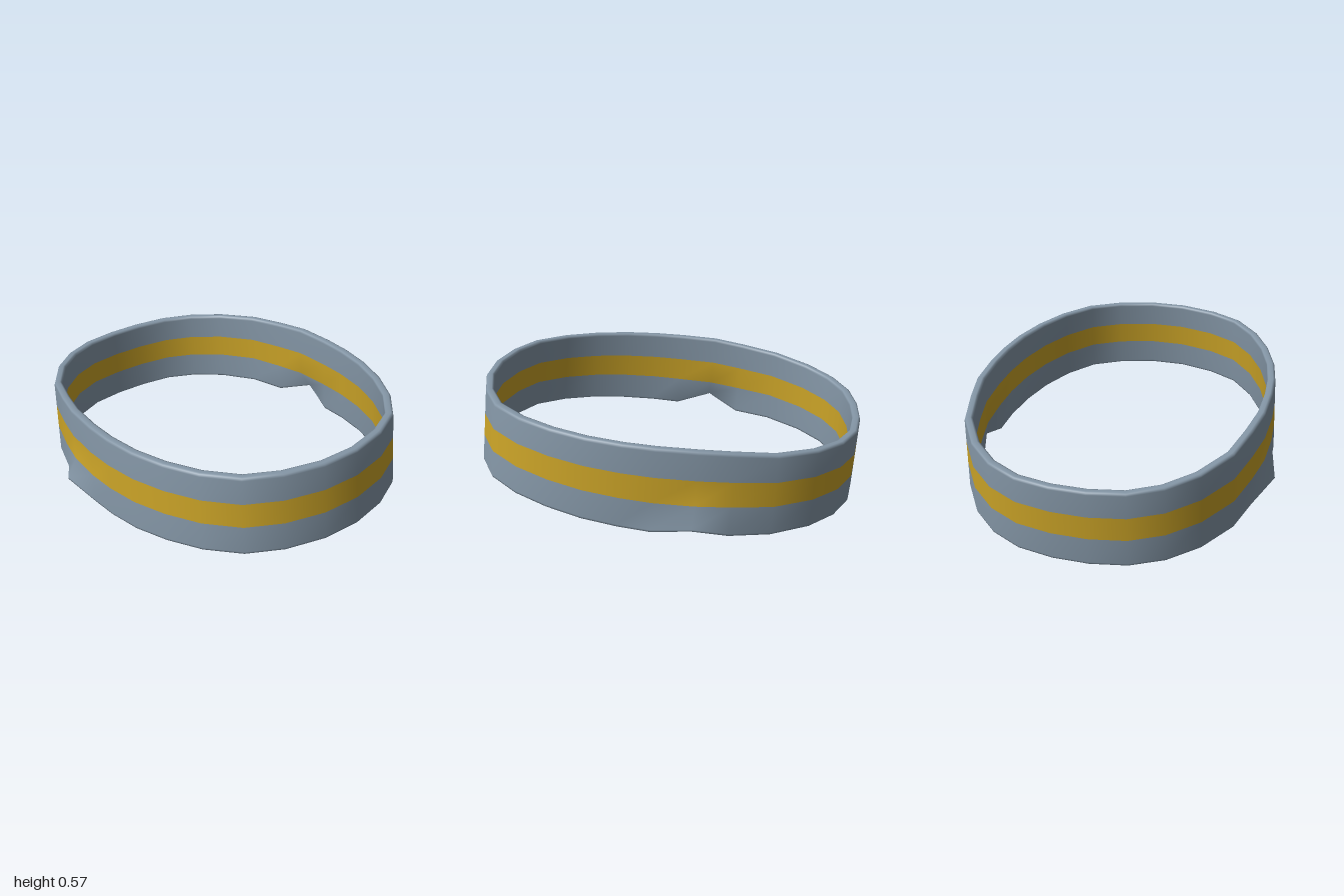
import * as THREE from 'three';

// Half of the lower outline, front to back: x, z, lower edge height
const HALF = [
  [0.10, 1.00, 0.170], [0.30, 0.95, 0.166], [0.47, 0.86, 0.160], [0.60, 0.71, 0.146],
  [0.69, 0.54, 0.130], [0.75, 0.36, 0.110], [0.78, 0.18, 0.092], [0.788, 0.02, 0.075],
  [0.78, -0.18, 0.062], [0.745, -0.35, 0.048], [0.69, -0.55, 0.035], [0.57, -0.74, 0.020],
  [0.43, -0.87, 0.010], [0.27, -0.95, 0.004], [0.09, -0.98, 0],
];
const FLARE_POINT = 8; // the point above each ear that bends outward
const THICKNESS = 0.042;
const STRIPE_LOW = 0.365, STRIPE_HIGH = 0.665;

// Cross-section of the band: inward fraction, height fraction
const OUTER = [[0.3, 0], [0.08, 0.008], [0, 0.035], [0, STRIPE_LOW], [0, STRIPE_HIGH],
  [0, 0.965], [0.08, 0.992], [0.3, 1]];
const SECTION = [...OUTER, ...OUTER.map(([t, v]) => [1 - t, v]).reverse()];

const topHeight = (z) => 0.5 + (z + 0.2) * (z > -0.2 ? 0.061 : 0.125);

export function createModel() {
  const group = new THREE.Group();
  group.name = 'headband';

  // Closed outline, running from the front over +x to the back and round
  const half = HALF.map(([x, z, y], i) => ({ x, z, y, flare: i === FLARE_POINT ? 1 : 0 }));
  const ring = [...half, ...half.map((p) => ({ ...p, x: -p.x })).reverse()];
  const n = ring.length, m = SECTION.length;

  const positions = [], bandIndex = [], stripeIndex = [];
  ring.forEach((p, i) => {
    const a = ring[(i + n - 1) % n], b = ring[(i + 1) % n];
    const inward = new THREE.Vector2(b.z - a.z, a.x - b.x).normalize();
    for (const [t, v] of SECTION) {
      // Slight lean of the wall, plus the flare below the stripe
      const flare = p.flare * Math.max(0, 1 - v / STRIPE_LOW);
      const x = p.x * (1 - 0.02 * v) + Math.sign(p.x) * 0.058 * flare;
      const z = p.z - v * (0.0325 + 0.0125 * p.z);
      const y = p.y + (topHeight(p.z) - p.y) * v + 0.058 * flare;
      positions.push(x + inward.x * t * THICKNESS, y, z + inward.y * t * THICKNESS);
    }
    for (let j = 0; j < m; j++) {
      const k = (j + 1) % m, q = (i + 1) % n;
      const v = (SECTION[j][1] + SECTION[k][1]) / 2;
      const target = v > STRIPE_LOW && v < STRIPE_HIGH ? stripeIndex : bandIndex;
      target.push(i * m + j, q * m + j, q * m + k, i * m + j, q * m + k, i * m + k);
    }
  });

  // Shared vertices keep the shading smooth across the colour change
  const whole = new THREE.BufferGeometry();
  whole.setAttribute('position', new THREE.Float32BufferAttribute(positions, 3));
  whole.setIndex([...bandIndex, ...stripeIndex]);
  whole.computeVertexNormals();

  const addPart = (name, index, color) => {
    const geometry = whole.clone();
    geometry.setIndex(index);
    const mesh = new THREE.Mesh(geometry, new THREE.MeshStandardMaterial({ color }));
    mesh.name = name;
    group.add(mesh);
  };
  addPart('band', bandIndex, 0x8496a6);
  addPart('stripe', stripeIndex, 0xc9a227);
  return group;
}
